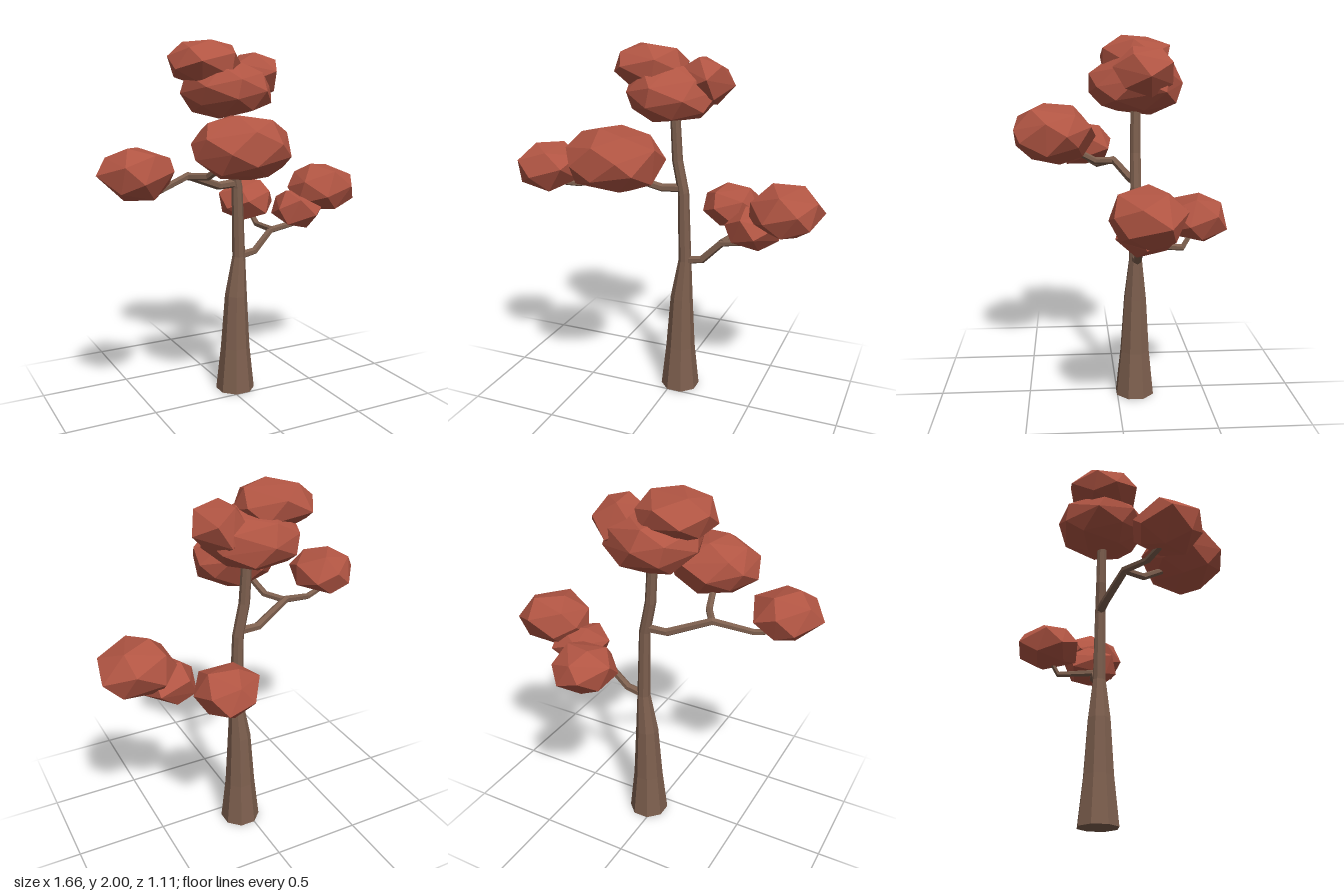
import * as THREE from 'three';
import { ConvexGeometry } from 'three/addons/geometries/ConvexGeometry.js';

const bark = new THREE.MeshStandardMaterial({ name: 'bark', color: 0x7d5f4e, flatShading: true });
const leaf = new THREE.MeshStandardMaterial({ name: 'russet leaves', color: 0xb15543, flatShading: true });

// Small seeded random generator
function seeded(seed) {
  let s = seed * 7919 + 13;
  return () => (s = (s * 16807) % 2147483647) / 2147483647;
}

// Tapered faceted limb through [x, y, z, radius] stations
function limb(stations, sides, ref) {
  const pts = stations.map(s => new THREE.Vector3(s[0], s[1], s[2]));
  const n = pts.length;
  const pos = [], idx = [];
  pts.forEach((p, i) => {
    const t = pts[Math.min(i + 1, n - 1)].clone().sub(pts[Math.max(i - 1, 0)]).normalize();
    const u = ref.clone().cross(t).normalize();
    const v = t.clone().cross(u);
    for (let j = 0; j < sides; j++) {
      const a = ((j + 0.5) / sides) * Math.PI * 2, r = stations[i][3];
      const q = p.clone().addScaledVector(u, r * Math.cos(a)).addScaledVector(v, r * Math.sin(a));
      pos.push(q.x, q.y, q.z);
    }
  });
  pts.forEach(p => pos.push(p.x, p.y, p.z));
  const first = n * sides, last = first + n - 1;
  for (let j = 0; j < sides; j++) {
    const k = (j + 1) % sides;
    for (let i = 0; i < n - 1; i++) {
      const a = i * sides + j, b = i * sides + k;
      idx.push(a, b, b + sides, a, b + sides, a + sides);
    }
    const e = (n - 1) * sides;
    idx.push(first, k, j, last, e + j, e + k);
  }
  const g = new THREE.BufferGeometry();
  g.setAttribute('position', new THREE.Float32BufferAttribute(pos, 3));
  g.setIndex(idx);
  const flat = g.toNonIndexed();
  flat.computeVertexNormals();
  return flat;
}

// Irregular faceted leaf clump, fitted to a centre and half sizes
function clump(center, half, count, seed) {
  const rnd = seeded(seed), pts = [];
  const turn = rnd() * 6.28;
  for (let i = 0; i < count; i++) {
    const y = 1 - (2 * (i + 0.5)) / count;
    const a = turn + i * 2.39996 + (rnd() - 0.5) * 0.35;
    const r = Math.sqrt(1 - y * y);
    pts.push(new THREE.Vector3(r * Math.cos(a), y, r * Math.sin(a)).multiplyScalar(0.95 + rnd() * 0.1));
  }
  const g = new ConvexGeometry(pts);
  g.center();
  const b = g.boundingBox.getSize(new THREE.Vector3());
  g.scale((2 * half[0]) / b.x, (2 * half[1]) / b.y, (2 * half[2]) / b.z);
  g.computeVertexNormals();
  g.translate(...center);
  return g;
}

export function createModel() {
  const tree = new THREE.Group();
  tree.name = 'tree';
  const add = (name, geometry, material) => {
    const m = new THREE.Mesh(geometry, material);
    m.name = name;
    tree.add(m);
  };
  const up = new THREE.Vector3(0, 1, 0), front = new THREE.Vector3(0, 0, 1);

  // Trunk, flared at the foot and bending toward the crown
  add('trunk', limb([
    [0.042, 0, -0.1, 0.112], [0.043, 0.26, -0.1, 0.084], [0.048, 0.57, -0.1, 0.064],
    [0.066, 0.8, -0.1, 0.037], [0.055, 1.2, -0.1, 0.031], [0.018, 1.38, -0.1, 0.03],
    [0.0, 1.7, -0.1, 0.027],
  ], 8, front), bark);

  // Branches and their forks
  const branches = {
    rightBranch: [[0.05, 1.225, -0.1, 0.025], [-0.07, 1.22, -0.085, 0.023], [-0.29, 1.3, 0.0, 0.021],
      [-0.49, 1.245, 0.09, 0.018], [-0.64, 1.26, 0.15, 0.015]],
    rightFork: [[-0.29, 1.295, 0.0, 0.02], [-0.22, 1.305, 0.11, 0.02], [-0.18, 1.39, 0.26, 0.018]],
    leftBranch: [[0.06, 0.8, -0.1, 0.025], [0.17, 0.82, -0.1, 0.022], [0.28, 0.93, -0.11, 0.021],
      [0.43, 0.955, -0.11, 0.018], [0.62, 1.05, -0.11, 0.015]],
    leftFork: [[0.28, 0.935, -0.1, 0.02], [0.305, 0.925, -0.32, 0.018], [0.27, 1.03, -0.39, 0.015]],
  };
  for (const [name, stations] of Object.entries(branches)) add(name, limb(stations, 6, up), bark);

  // Leaf clumps: name, centre, half sizes, corner count
  [
    ['crownLeaves', [-0.005, 1.74, -0.105], [0.262, 0.16, 0.252], 26],
    ['crownRightLeaves', [-0.135, 1.88, -0.11], [0.195, 0.12, 0.188], 18],
    ['crownLeftLeaves', [0.185, 1.812, -0.12], [0.137, 0.127, 0.157], 13],
    ['frontLeaves', [-0.148, 1.468, 0.33], [0.25, 0.165, 0.225], 26],
    ['rightLeaves', [-0.642, 1.35, 0.17], [0.19, 0.13, 0.174], 17],
    ['leftOuterLeaves', [0.633, 1.16, -0.107], [0.195, 0.143, 0.183], 18],
    ['leftLowerLeaves', [0.455, 1.04, -0.11], [0.147, 0.11, 0.15], 13],
    ['backLeaves', [0.255, 1.067, -0.385], [0.167, 0.127, 0.168], 17],
  ].forEach(([name, center, half, count], i) => add(name, clump(center, half, count, i + 3), leaf));

  return tree;
}
